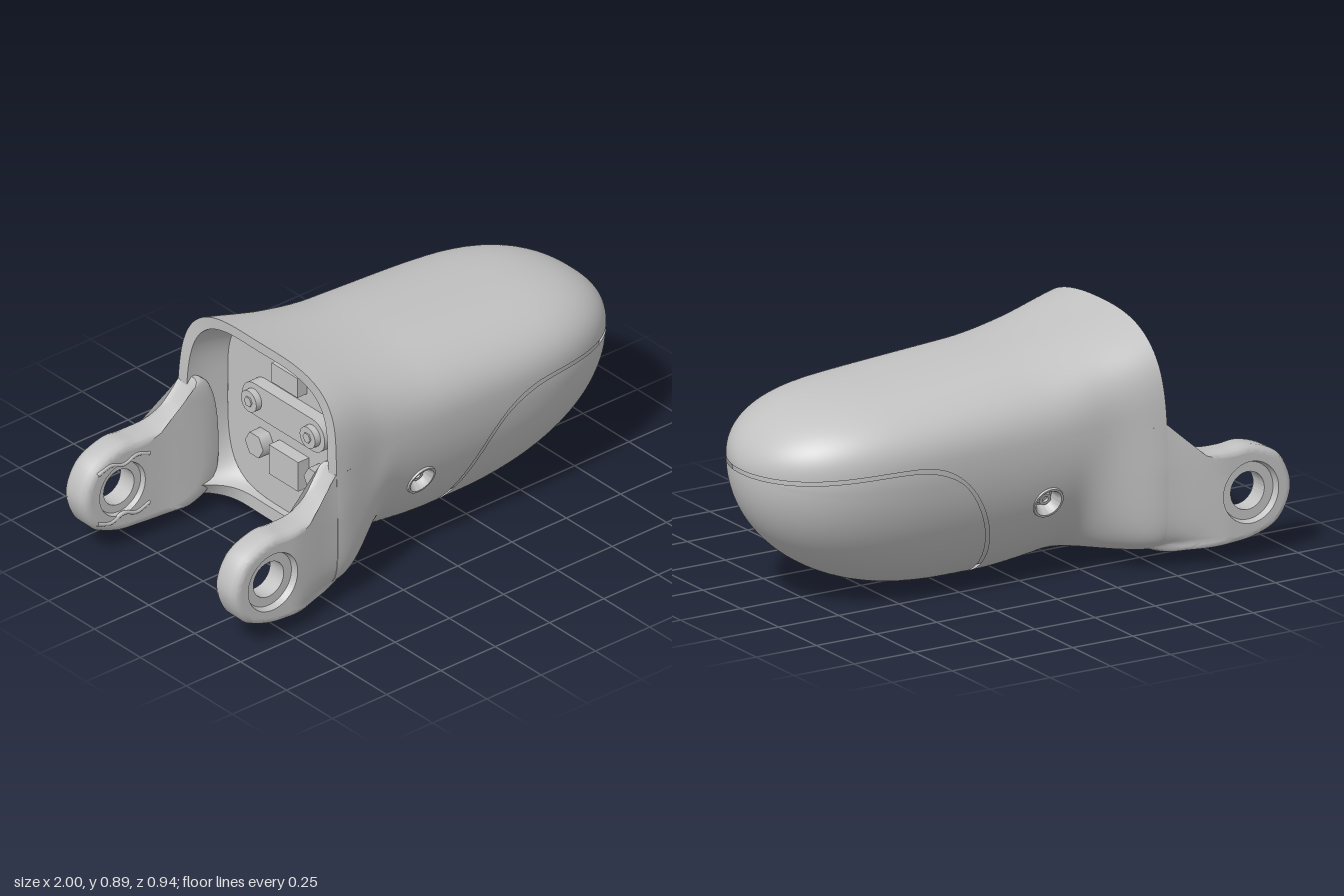
import * as THREE from 'three';
import { toCreasedNormals } from 'three/addons/utils/BufferGeometryUtils.js';

const { smoothstep, lerp } = THREE.MathUtils;
const V = (x, y, z) => new THREE.Vector3(x, y, z);
const grey = new THREE.MeshStandardMaterial({ color: 0xc2c2c2, side: THREE.DoubleSide });
grey.name = 'grey plastic';

// Height of the widest line, also the pad's upper seam
const mid = x => 0.535 - 0.022 * smoothstep(x, 0.55, 1);
// Rounded falloff toward the nose, starting at x = a
const nose = (x, a, p) => Math.sqrt(Math.max(0, 1 - Math.pow(Math.max(0, (x - a) / (1 - a)), p)));
// Eased value that grows from 0 at x = a to 1 further back at x = b
const back = (x, a, b) => smoothstep(-x, -a, -b);

// Superellipse half-section at x: exponent and height above or below the widest line
function section(x, up) {
  const m = mid(x);
  return up
    ? { n: lerp(2.4, 3.2, back(x, 0, -0.5)),
        h: (0.8 - 0.08 * x + 0.2 * Math.min(x, 0) ** 2 - m) * nose(x, 0.5, 2.9) }
    : { n: 2 + 7 * back(x, -0.12, -0.5) ** 2,
        h: (m - 0.055 * back(x, 0.12, -0.42)) * nose(x, 0.2, 2.35) };
}
const halfWidth = (x, y) => 0.4 * nose(x, 0.2, 3.45) + 0.025 * back(x, -0.25, -0.5)
  + 0.015 * back(x, -0.28, -0.5) * (1 - smoothstep(y, 0.35, 0.7));

// Point on the outer skin; th = 0 is the top, PI the bottom. s shrinks the section.
function skin(x, th, s = 1) {
  const c = Math.cos(th), d = Math.sin(th), { n, h } = section(x, c > 0);
  const y = mid(x) + s * Math.sign(c) * h * Math.pow(Math.abs(c), 2 / n);
  return V(x, y, -s * halfWidth(x, y) * Math.sign(d) * Math.pow(Math.abs(d), 2 / n));
}
// Distance of the skin from the middle plane at a given x and height
function skinZ(x, y) {
  const { n, h } = section(x, y > mid(x));
  return halfWidth(x, y) * Math.pow(Math.max(0, 1 - Math.pow(Math.abs(y - mid(x)) / h, n)), 1 / n);
}

// Grid surface from f(u, v); cells whose centre satisfies skip are left open
function surface(f, nu, nv, skip) {
  const pos = [], idx = [];
  for (let i = 0; i <= nu; i++)
    for (let j = 0; j <= nv; j++) pos.push(...f(i / nu, j / nv).toArray());
  for (let i = 0; i < nu; i++)
    for (let j = 0; j < nv; j++) {
      if (skip && skip(f((i + 0.5) / nu, (j + 0.5) / nv))) continue;
      const a = i * (nv + 1) + j, b = a + nv + 1;
      idx.push(a, b, b + 1, a, b + 1, a + 1);
    }
  const g = new THREE.BufferGeometry();
  g.setAttribute('position', new THREE.Float32BufferAttribute(pos, 3));
  g.setIndex(idx);
  g.computeVertexNormals();
  return g;
}

const low = th => Math.max(0, -Math.cos(th));
// Rear edge: slightly hollow at the upper sides, cut back in a curve underneath
const rearX = th => -0.5 + 0.14 * smoothstep(low(th), 0.76, 1)
  + 0.014 * Math.max(0, Math.sin(2 * Math.acos(Math.max(0, Math.cos(th)))));
const seamX = th => 0.12 + 0.43 * Math.pow(Math.max(0, 1 - Math.pow(low(th), 0.4)), 1.3);
const upperTh = v => (v - 0.5) * Math.PI;
const lowerTh = v => { // denser toward the two side seams
  const q = 2 * v - 1;
  return Math.PI + Math.sign(q) * (Math.PI / 2) * (1 - (1 - Math.abs(q)) ** 1.5);
};
const toNose = (a, u) => lerp(a, 1, 1 - (1 - u) ** 2);

const HOLE = { x: -0.05, y: 0.31 };
const openings = p =>
  Math.hypot(p.x - HOLE.x, p.y - HOLE.y) < 0.052 ||
  (p.y < 0.1 && Math.abs(p.x + 0.14) < 0.05 && Math.abs(p.z) < 0.065);

// Arm: swept ring profile between a round hole and a free outline, its outer face
// flowing into the skin
function armGeometry() {
  const cx = -0.825, cy = 0.245;
  const outline = new THREE.CatmullRomCurve3([
    [-0.4, 0.12], [-0.38, 0.35], [-0.42, 0.52], [-0.475, 0.56], [-0.51, 0.515], [-0.56, 0.455],
    [-0.65, 0.418], [-0.74, 0.413], [-0.825, 0.418], [-0.95, 0.365], [-1, 0.245], [-0.95, 0.125],
    [-0.85, 0.075], [-0.72, 0.06], [-0.6, 0.054], [-0.5, 0.058],
  ].map(p => V(p[0], p[1], 0)), true).getSpacedPoints(120);
  const outer = (x, y) => lerp(skinZ(Math.max(x, -0.5), Math.max(y, 0.09)) - 0.003, 0.47, back(x, -0.48, -0.74));
  const inner = x => 0.35 - 0.01 * smoothstep(x, -0.65, -0.5);
  // [fixed radius or null, blend to rim, inset from rim, face (1 outer, 0 inner), depth]
  const prof = [[0.07, 0, 0, 0, 0.02], [0.07, 0, 0, 1, 0.025], [0.106, 0, 0, 1, 0.025], [0.114, 0, 0, 1, 0]];
  for (const f of [0.2, 0.4, 0.6, 0.7, 0.8, 0.9, 1]) prof.push([null, f, 0.025, 1, 0]);
  prof.push([null, 1, 0.008, 1, 0.008], [null, 1, 0, 1, 0.025], [null, 1, 0, 0, 0.025], [null, 1, 0.008, 0, 0.008]);
  for (const f of [1, 0.8, 0.6, 0.4, 0.2]) prof.push([null, f, 0.025, 0, 0]);
  prof.push([0.105, 0, 0, 0, 0], [0.1, 0, 0, 0, 0.02], [0.07, 0, 0, 0, 0.02]);
  const n = prof.length - 1;
  const g = surface((u, v) => {
    const [fix, f, inset, face, depth] = prof[Math.round(u * n)];
    const o = outline[Math.round(v * 120)];
    const R = Math.hypot(o.x - cx, o.y - cy), a = Math.atan2(o.y - cy, o.x - cx);
    const r = fix ?? lerp(0.114, R - inset, f);
    const x = cx + r * Math.cos(a), y = cy + r * Math.sin(a);
    return V(x, y, face ? outer(x, y) - depth : inner(x) + depth);
  }, n, 120);
  return toCreasedNormals(g, 0.7);
}

export function createModel() {
  const model = new THREE.Group();
  const add = (parent, name, geo, x = 0, y = 0, z = 0) => {
    const m = new THREE.Mesh(geo, grey);
    m.name = name;
    m.position.set(x, y, z);
    parent.add(m);
    return m;
  };

  // Housing: upper shell to the nose, lower shell to the seam
  add(model, 'upperShell', surface((u, v) => {
    const th = upperTh(v);
    return skin(toNose(rearX(th), u), th);
  }, 80, 96));
  add(model, 'lowerShell', surface((u, v) => {
    const th = lowerTh(v);
    return skin(lerp(rearX(th), seamX(th), u), th);
  }, 90, 160, openings));

  // Fingertip pad under the seam, and the core seen in the gap
  add(model, 'tipPad', surface((u, v) => {
    const th = lowerTh(v), p = skin(toNose(seamX(th) + 0.016, u), th);
    p.y -= 0.014 * Math.max(1 - smoothstep(low(th), 0, 0.2), u ** 4);
    return p;
  }, 70, 110));
  add(model, 'core', surface((u, v) => {
    const p = skin(toNose(0.02, u), v * Math.PI * 2, 0.972);
    p.x *= 0.98;
    return p;
  }, 50, 96));

  // Hollow rear: rim, inner wall, bulkhead
  const turn = v => v * Math.PI * 2;
  const DEEP = -0.33;
  add(model, 'rearRim', surface((u, v) => skin(rearX(turn(v)), turn(v), lerp(0.89, 1, u)), 1, 160));
  add(model, 'innerWall', surface((u, v) => {
    const th = turn(1 - v);
    return skin(lerp(rearX(th), DEEP, u), th, 0.89);
  }, 16, 160));
  add(model, 'bulkhead', surface((u, v) => skin(DEEP, turn(v), 0.89 * u), 1, 96));

  // Linkage on the bulkhead
  const link = new THREE.Group();
  link.name = 'linkage';
  model.add(link);
  add(link, 'linkBar', new THREE.BoxGeometry(0.05, 0.13, 0.32), -0.355, 0.53, 0);
  for (const z of [-0.16, 0.16]) {
    const disc = (name, r, len, x, y, sides = 32) => {
      add(link, name, new THREE.CylinderGeometry(r, r, len, sides), x, y, z).rotation.z = Math.PI / 2;
    };
    disc('linkEnd', 0.065, 0.05, -0.355, 0.53);
    disc('boltHead', 0.042, 0.03, -0.39, 0.53);
    disc('boltSocket', 0.02, 0.02, -0.4, 0.53, 6);
    disc('nut', 0.05, 0.06, -0.35, 0.34, 6);
  }
  add(link, 'upperBlock', new THREE.BoxGeometry(0.05, 0.08, 0.14), -0.35, 0.68, 0);
  add(link, 'lowerBlock', new THREE.BoxGeometry(0.06, 0.12, 0.16), -0.35, 0.32, 0);
  add(model, 'slotFloor', new THREE.BoxGeometry(0.16, 0.02, 0.2), -0.14, 0.09, 0);

  // Arms and side screws, mirrored across the middle
  const arm = armGeometry();
  const cup = toCreasedNormals(new THREE.LatheGeometry([
    [0, -0.03], [0.012, -0.03], [0.012, -0.02], [0.024, -0.02], [0.028, -0.04], [0.036, -0.04],
    [0.042, -0.012], [0.052, 0.005], [0.06, 0.005], [0.064, -0.01],
  ].map(p => new THREE.Vector2(...p)), 40), 0.5);
  for (const side of [1, -1]) {
    const half = new THREE.Group();
    half.name = side > 0 ? 'frontSide' : 'backSide';
    half.scale.z = side;
    model.add(half);
    add(half, 'arm', arm);
    add(half, 'screwWell', cup, HOLE.x, HOLE.y, skinZ(HOLE.x, HOLE.y)).rotation.x = Math.PI / 2 + 0.35;
    // Wavy guide ribs on the inner face of the arm
    for (const s of [1, -1]) {
      const path = new THREE.CatmullRomCurve3([-0.12, -0.06, 0, 0.06, 0.12].map((d, i) =>
        V(-0.82 + d, 0.245 + s * (0.1 + (i % 2 ? 0.018 : 0)), 0.352)));
      add(half, 'guideRib', new THREE.TubeGeometry(path, 30, 0.008, 8));
    }
  }
  return model;
}
